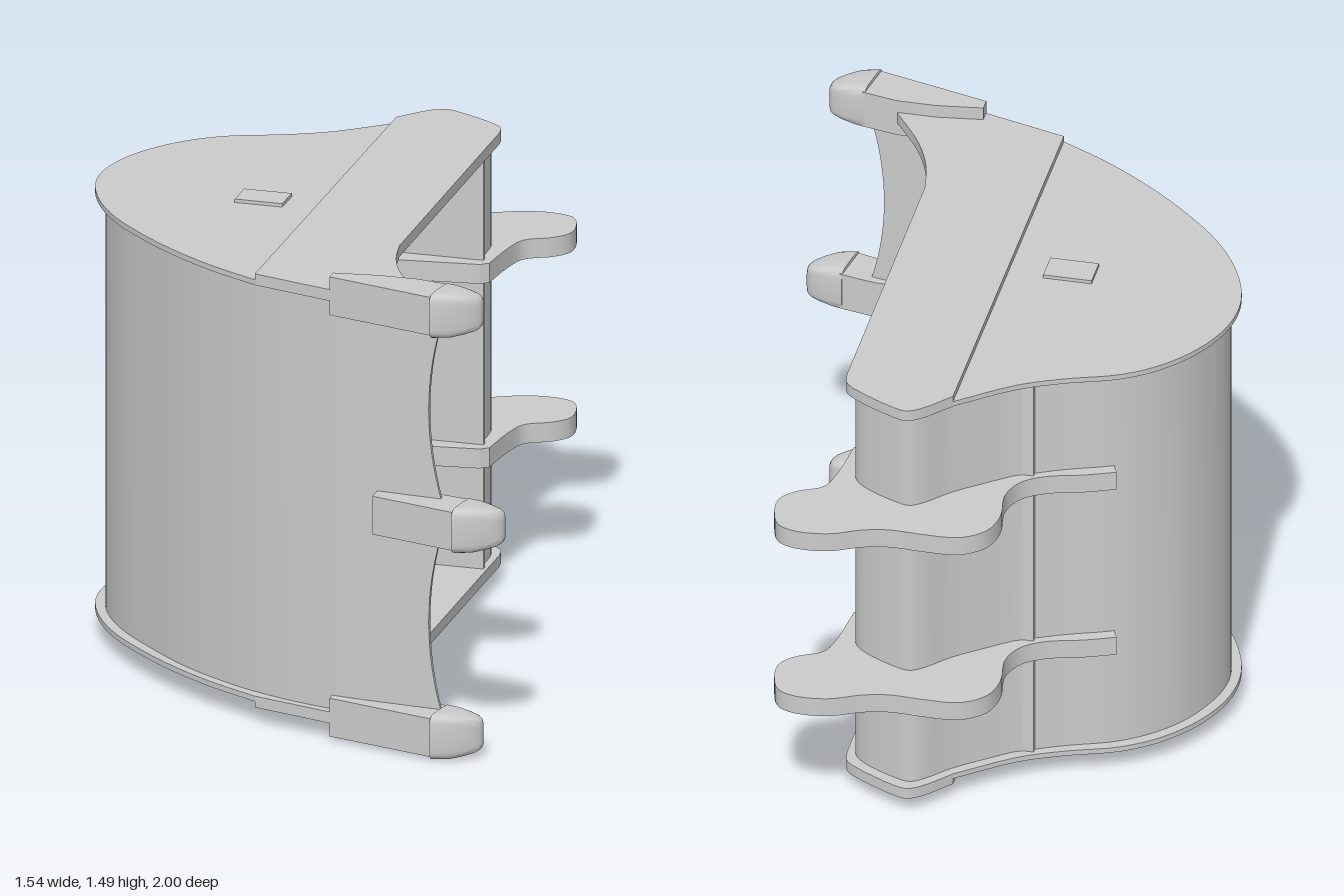
import * as THREE from 'three';
import { toCreasedNormals } from 'three/addons/utils/BufferGeometryUtils.js';

const material = new THREE.MeshStandardMaterial({ color: 0xcccccc });
const MID = 0.7465; // mid height of the bucket

function add(parent, name, geometry) {
  const mesh = new THREE.Mesh(geometry, material);
  mesh.name = name;
  parent.add(mesh);
  return mesh;
}

// Smooth curve through [x, z] points
function smooth(points, n) {
  const c = new THREE.CatmullRomCurve3(points.map(([x, z]) => new THREE.Vector3(x, 0, z)), false, 'centripetal');
  return c.getPoints(n).map(p => [p.x, p.z]);
}

// Upright slab from an [x, z] outline between two heights
function slab(outline, y0, y1, crease = 0.5) {
  const shape = new THREE.Shape(outline.map(([x, z]) => new THREE.Vector2(x, -z)));
  const g = new THREE.ExtrudeGeometry(shape, { depth: y1 - y0, bevelEnabled: false });
  g.rotateX(-Math.PI / 2).translate(0, y0, 0);
  return toCreasedNormals(g, crease);
}

// Thickened wall: outline of a path plus its inward offset
function wall(path, t) {
  const inner = path.map(([x, z], i) => {
    const a = path[Math.max(i - 1, 0)], b = path[Math.min(i + 1, path.length - 1)];
    const dx = b[0] - a[0], dz = b[1] - a[1], l = Math.hypot(dx, dz);
    return [x - dz / l * t, z + dx / l * t];
  });
  return [...path, ...inner.reverse()];
}

// Rounded tooth point lofted through [x, zInner, zOuter, halfHeight] sections
function toothPoint() {
  const sections = [
    [0.565, 0.832, 0.975, 0.073], [0.61, 0.838, 0.963, 0.07], [0.65, 0.848, 0.94, 0.062],
    [0.678, 0.858, 0.918, 0.054], [0.69, 0.866, 0.905, 0.046], [0.695, 0.876, 0.895, 0.036],
  ];
  const N = 28, pos = [], idx = [];
  const squash = v => Math.sign(v) * Math.pow(Math.abs(v), 0.35);
  sections.forEach(([x, z0, z1, h], s) => {
    for (let i = 0; i < N; i++) {
      const a = i / N * Math.PI * 2, k = squash(Math.sin(a));
      const lean = s === 0 ? -0.012 * k : 0;
      pos.push(x + lean, h * squash(Math.cos(a)), (z0 + z1) / 2 + k * (z1 - z0) / 2);
    }
  });
  for (let s = 0; s < sections.length - 1; s++) {
    for (let i = 0; i < N; i++) {
      const a = s * N + i, b = s * N + (i + 1) % N;
      idx.push(a, b, a + N, b, b + N, a + N);
    }
  }
  const last = (sections.length - 1) * N;
  for (let i = 1; i < N - 1; i++) {
    idx.push(0, i + 1, i);
    idx.push(last, last + i, last + i + 1);
  }
  const g = new THREE.BufferGeometry();
  g.setAttribute('position', new THREE.Float32BufferAttribute(pos, 3));
  g.setIndex(idx);
  return toCreasedNormals(g, 0.7);
}

export function createModel() {
  const model = new THREE.Group();
  model.name = 'bucket';

  // Curved shell, rolled round the back into the hinge beam
  const shellPath = [
    ...smooth([[0.47, 0.868], [0.2, 0.838], [-0.04, 0.762], [-0.19, 0.684], [-0.34, 0.583], [-0.48, 0.456],
      [-0.605, 0.325], [-0.692, 0.19], [-0.74, 0.045], [-0.742, -0.055], [-0.712, -0.165], [-0.658, -0.27],
      [-0.583, -0.355], [-0.49, -0.422], [-0.34, -0.482], [-0.2, -0.55]], 64),
    ...smooth([[-0.17, -0.573], [-0.04, -0.68], [0.03, -0.757], [0.07, -0.782], [0.12, -0.768],
      [0.225, -0.71], [0.26, -0.67], [0.268, -0.62], [0.268, -0.53]], 32),
  ];
  add(model, 'shell', slab(wall(shellPath, 0.025), 0.09, 1.405));
  add(model, 'innerWall', slab([[-0.26, -0.537], [0.28, -0.537], [0.28, -0.52], [-0.26, -0.52]], 0.09, 1.405));

  // Cutting lip with a scallop either side of the middle tooth, thinning to its edge
  const lipShape = new THREE.Shape();
  lipShape.moveTo(0.44, 0.09);
  lipShape.lineTo(0.56, 0.09);
  lipShape.lineTo(0.56, 0.13);
  lipShape.quadraticCurveTo(0.482, 0.41, 0.56, 0.685);
  lipShape.lineTo(0.56, 0.81);
  lipShape.quadraticCurveTo(0.482, 1.085, 0.56, 1.363);
  lipShape.lineTo(0.56, 1.405);
  lipShape.lineTo(0.44, 1.405);
  const lip = new THREE.ExtrudeGeometry(lipShape, { depth: 1, bevelEnabled: false, curveSegments: 20 });
  const p = lip.attributes.position;
  for (let i = 0; i < p.count; i++) {
    const d = p.getX(i) - 0.47;
    const outer = 0.868 + d * 0.07;
    p.setZ(i, p.getZ(i) > 0.5 ? outer : outer - 0.025 + d * 0.15);
  }
  add(model, 'cuttingLip', toCreasedNormals(lip, 0.3));

  // Side plates: thin rear cheek, thicker mouth cheek and a small pad
  const rearCheek = smooth([[-0.05, 0.793], [-0.2, 0.712], [-0.35, 0.61], [-0.5, 0.483], [-0.63, 0.345],
    [-0.72, 0.2], [-0.768, 0.06], [-0.772, -0.06], [-0.742, -0.18], [-0.683, -0.29], [-0.6, -0.385],
    [-0.5, -0.453], [-0.35, -0.51], [-0.22, -0.575], [-0.05, -0.71]], 60);
  const mouthCheek = [
    ...smooth([[-0.05, -0.71], [0.03, -0.8], [0.07, -0.822], [0.11, -0.812], [0.25, -0.735], [0.28, -0.705], [0.29, -0.66]], 24),
    ...smooth([[0.295, 0.42], [0.32, 0.54], [0.37, 0.66], [0.47, 0.81]], 12),
    [0.47, 0.885], [0.2, 0.866], [-0.05, 0.793],
  ];
  const pad = [[-0.31, 0.03], [-0.16, 0.03], [-0.16, 0.13], [-0.31, 0.13]];
  for (const side of [1, -1]) {
    const cheek = new THREE.Group();
    cheek.name = side > 0 ? 'upperSidePlate' : 'lowerSidePlate';
    const plate = (name, outline, inner, outer) => {
      const ys = [MID + side * inner, MID + side * outer].sort((a, b) => a - b);
      add(cheek, name, slab(outline, ys[0], ys[1]));
    };
    plate('rearCheek', rearCheek, 0.657, 0.674);
    plate('mouthCheek', mouthCheek, 0.657, 0.693);
    plate('pad', pad, 0.67, 0.685);
    model.add(cheek);
  }

  // Pair of hinge ears passing through the beam
  const ear = [
    ...smooth([[-0.5, -0.46], [-0.4, -0.5], [-0.3, -0.53], [-0.23, -0.58], [-0.2, -0.66], [-0.213, -0.78], [-0.19, -0.87],
      [-0.12, -0.925], [-0.02, -0.933], [0.1, -0.93], [0.18, -0.95], [0.27, -0.992], [0.37, -1.0], [0.43, -0.975],
      [0.46, -0.9], [0.46, -0.83], [0.42, -0.78], [0.345, -0.735], [0.322, -0.66], [0.305, -0.5]], 60),
    [0.28, -0.48], [-0.2, -0.425], [-0.45, -0.35],
  ];
  for (const y of [0.425, 1.015]) add(model, 'hingeEar', slab(ear, y, y + 0.062));

  // Three teeth, the middle one set further forward
  const pointGeometry = toothPoint();
  for (const [y, dx, dz, back] of [[0.073, 0, 0, 0.208], [MID, 0.075, 0.02, 0.28], [1.42, 0, 0, 0.208]]) {
    const tooth = new THREE.Group();
    tooth.name = 'tooth';
    const adapter = [[back, 0.83], [0.35, 0.812], [0.47, 0.812], [0.585, 0.836], [0.562, 0.967],
      [back, 0.87 + (back - 0.208) * 0.27]];
    add(tooth, 'toothAdapter', slab(adapter, -0.061, 0.061, 0.3));
    add(tooth, 'toothPoint', pointGeometry);
    tooth.position.set(dx, y, dz);
    model.add(tooth);
  }
  return model;
}
